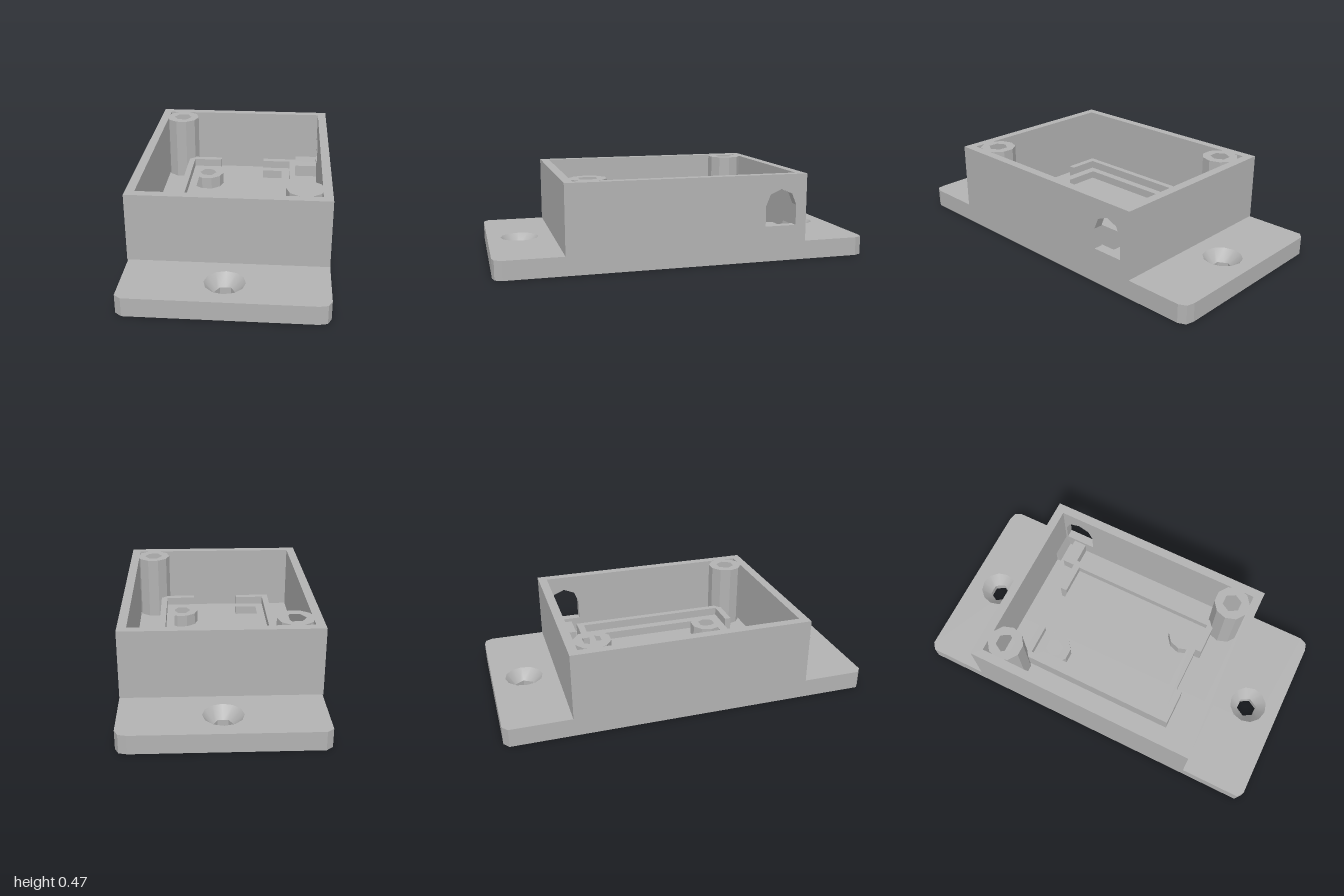
import * as THREE from 'three';

const grey = new THREE.MeshStandardMaterial({ color: 0xb2b2b2 });
grey.name = 'matte grey';

const FLOOR = 0.1, RIM = 0.465;

// regular polygon as [x, z] points
function ngon(cx, cz, r, n, phase = 0) {
  return Array.from({ length: n }, (_, i) => {
    const a = phase + (i / n) * Math.PI * 2;
    return [cx + r * Math.cos(a), cz + r * Math.sin(a)];
  });
}
const rect = (x0, z0, x1, z1) => [[x0, z0], [x1, z0], [x1, z1], [x0, z1]];
const toVectors = (pts, s = -1) => pts.map(([x, z]) => new THREE.Vector2(x, s * z));

// vertical prism from a plan outline given in x, z
function slab(name, outline, y0, y1, holes = []) {
  const shape = new THREE.Shape(toVectors(outline));
  shape.holes = holes.map((h) => new THREE.Path(toVectors(h)));
  const geo = new THREE.ExtrudeGeometry(shape, { depth: y1 - y0, bevelEnabled: false });
  geo.rotateX(-Math.PI / 2).translate(0, y0, 0);
  const mesh = new THREE.Mesh(geo, grey);
  mesh.name = name;
  return mesh;
}

// prism along x from an outline given in -z, y
function sidePrism(name, outline, x0, x1, holes = []) {
  const shape = new THREE.Shape(toVectors(outline, 1));
  shape.holes = holes.map((h) => new THREE.Path(toVectors(h, 1)));
  const geo = new THREE.ExtrudeGeometry(shape, { depth: x1 - x0, bevelEnabled: false });
  geo.rotateY(Math.PI / 2).translate(x0, 0, 0);
  const mesh = new THREE.Mesh(geo, grey);
  mesh.name = name;
  return mesh;
}

// funnel from a round rim down to a hexagonal bore
function countersink(cz, y0, y1, rTop, rHex) {
  const pos = [], idx = [], n = 12;
  for (let i = 0; i < n; i++) {
    const a = (i / n) * Math.PI * 2;
    const r = i % 2 ? rHex * Math.cos(Math.PI / 6) : rHex;
    pos.push(rTop * Math.cos(a), y1, cz + rTop * Math.sin(a));
    pos.push(r * Math.cos(a), y0, cz + r * Math.sin(a));
    const t = 2 * i, u = 2 * ((i + 1) % n);
    idx.push(t, t + 1, u, u, t + 1, u + 1);
  }
  const geo = new THREE.BufferGeometry();
  geo.setAttribute('position', new THREE.Float32BufferAttribute(pos, 3));
  geo.setIndex(idx);
  geo.computeVertexNormals();
  const mesh = new THREE.Mesh(geo, grey);
  mesh.name = 'countersink';
  return mesh;
}

export function createModel() {
  const model = new THREE.Group();
  model.name = 'mountingBox';

  // flanged base plate with clipped corners and two screw holes
  const right = [[0.454, 0.999], [0.496, 0.989], [0.515, 0.95]];
  const left = [[-0.51, 0.972], [-0.476, 0.999]];
  const half = [...left, ...right];
  const plate = [...half, ...half.map(([x, z]) => [x, -z]).reverse()];
  const screwZ = [-0.825, 0.825], seat = 0.04;
  model.add(slab('basePlateLower', plate, 0, seat, screwZ.map((z) => ngon(0, z, 0.055, 6))));
  model.add(slab('basePlateUpper', plate, seat, FLOOR, screwZ.map((z) => ngon(0, z, 0.103, 12))));
  for (const z of screwZ) model.add(countersink(z, seat, FLOOR, 0.103, 0.055));

  // three plain walls in one piece
  const X = 0.515, Z = 0.645, xi = 0.467, zi = 0.597;
  model.add(slab('walls', [[xi, -Z], [-X, -Z], [-X, Z], [xi, Z], [xi, zi], [-xi, zi], [-xi, -zi], [xi, -zi]], FLOOR, RIM));

  // side wall with an arched cable opening
  const arch = [[0.414, 0.19], [0.586, 0.19], ...ngon(0.5, 0.3, 0.086, 8).slice(0, 5)];
  model.add(sidePrism('cableWall', rect(-Z, FLOOR, Z, RIM), xi, X, [arch]));

  // tall corner posts for the lid screws
  for (const s of [-1, 1]) {
    const x = 0.38 * s, z = 0.505 * s;
    model.add(slab('lidPost', ngon(x, z, 0.098, 10), FLOOR, RIM, [ngon(x, z, 0.053, 6)]));
  }

  // tray: raised ledge, end bosses and retaining walls
  const ledge = 0.17;
  model.add(slab('trayLedge', rect(-0.3, -0.42, 0.297, 0.42), FLOOR, ledge, [rect(-0.254, -0.374, 0.25, 0.371)]));
  for (const s of [-1, 1]) {
    const x = 0.205 * s, z = 0.325 * s;
    model.add(slab('trayBoss', ngon(x, z, 0.095, 10), FLOOR, ledge, [ngon(x, z, 0.05, 6)]));
    const bracket = [[0.333, -0.458], [0.132, -0.458], [0.132, -0.42], [0.298, -0.42],
      [0.298, 0.42], [0.132, 0.42], [0.132, 0.456], [0.333, 0.456]];
    model.add(slab('trayWall', bracket.map(([px, pz]) => [px * s, pz]), FLOOR, 0.215));
  }

  // cable rest and sloped rib below the opening
  model.add(slab('cableRest', rect(0.318, -0.54, xi, -0.465), FLOOR, 0.17));
  model.add(sidePrism('cableRib', [[0.575, FLOOR], [0.6, FLOOR], [0.6, 0.19]], 0.335, xi));

  return model;
}
